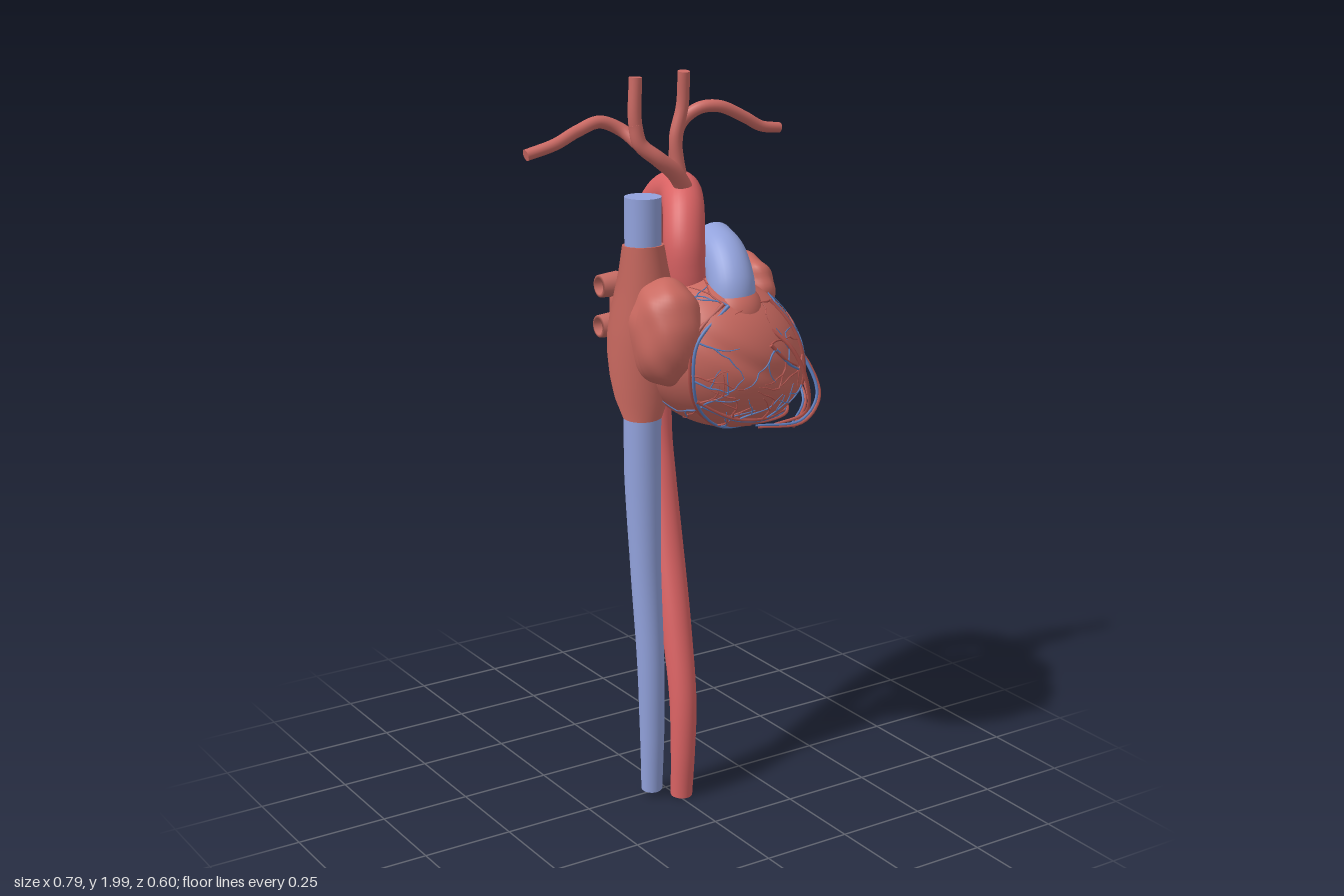
import * as THREE from 'three';
import { mergeGeometries } from 'three/addons/utils/BufferGeometryUtils.js';

const V = (x, y, z) => new THREE.Vector3(x, y, z);
const paint = (name, color, side = THREE.FrontSide) => {
  const m = new THREE.MeshStandardMaterial({ color, side });
  m.name = name;
  return m;
};

// Ventricle frame: long axis runs down to the apex
const CENTER = V(0.11, 1.28, 0.095);
const AX = V(0.8, -0.5, 0.3).normalize();
const BX = V(0, 0, 1).addScaledVector(AX, -AX.z).normalize();
const CX = V(0, 0, 0).crossVectors(BX, AX).normalize();

// Point on the ventricle surface for a unit direction, raised by lift
function ventriclePoint(w, lift = 0) {
  const a = w.dot(AX), b = w.dot(BX), c = w.dot(CX);
  const groove = 1 - 0.035 * Math.exp(-Math.pow((c * 0.8 + b * 0.35 - 0.3) / 0.1, 2));
  const r = 0.197 * (1 - 0.07 * a) * groove;
  return CENTER.clone().addScaledVector(AX, a * 0.235).addScaledVector(BX, b * r)
    .addScaledVector(CX, c * r).addScaledVector(w, lift);
}

// Capped tube whose radius follows a list of values along its length
function vessel(points, radii, seg = 48, sides = 20) {
  const curve = new THREE.CatmullRomCurve3(points.map((p) => (p.isVector3 ? p : V(...p))));
  const g = new THREE.TubeGeometry(curve, seg, 1, sides);
  const pos = g.attributes.position, v = V(0, 0, 0);
  const radius = (t) => {
    const f = t * (radii.length - 1), i = Math.min(Math.floor(f), radii.length - 2);
    return THREE.MathUtils.lerp(radii[i], radii[i + 1], f - i);
  };
  for (let i = 0; i <= seg; i++) {
    const c = curve.getPointAt(i / seg), r = radius(i / seg);
    for (let j = 0; j <= sides; j++) {
      const k = i * (sides + 1) + j;
      v.fromBufferAttribute(pos, k).sub(c).multiplyScalar(r).add(c);
      pos.setXYZ(k, v.x, v.y, v.z);
    }
  }
  const caps = [0, 1].map((t) => {
    const dir = curve.getTangentAt(t).multiplyScalar(t ? 1 : -1), c = curve.getPointAt(t);
    const cap = new THREE.CircleGeometry(radius(t), sides);
    cap.applyQuaternion(new THREE.Quaternion().setFromUnitVectors(V(0, 0, 1), dir));
    return cap.translate(c.x, c.y, c.z);
  });
  return mergeGeometries([g, ...caps]);
}

// Rounded chamber; power below 1 makes it boxier, ripple adds soft folds
function chamber(center, size, power = 1, ripple = 0) {
  const g = new THREE.SphereGeometry(1, 48, 32), p = g.attributes.position;
  const bend = (n) => Math.sign(n) * Math.pow(Math.abs(n), power);
  for (let i = 0; i < p.count; i++) {
    const x = p.getX(i), y = p.getY(i), z = p.getZ(i);
    const k = 1 + ripple * Math.sin(7 * y + 3 * x) * Math.cos(5 * z + 2 * x);
    p.setXYZ(i, center[0] + bend(x) * size[0] * k, center[1] + bend(y) * size[1] * k, center[2] + bend(z) * size[2] * k);
  }
  g.computeVertexNormals();
  return g;
}

export function createModel() {
  const model = new THREE.Group();
  const muscle = paint('heart muscle', 0xc8685f);
  const aortaRed = paint('aorta red', 0xd96263);
  const branchRed = paint('branch artery red', 0xcb6a64);
  const veinBlue = paint('vein blue', 0x92a2dc);
  const coronaryRed = paint('coronary red', 0xb4544e);
  const coronaryBlue = paint('coronary blue', 0x5b7cbc);
  const openVein = paint('open vein', 0xc46a62, THREE.DoubleSide);
  const add = (name, geometry, material) => {
    const m = new THREE.Mesh(geometry, material);
    m.name = name;
    model.add(m);
    return m;
  };

  // Ventricles
  const body = new THREE.SphereGeometry(1, 72, 48), bp = body.attributes.position;
  for (let i = 0; i < bp.count; i++) {
    const p = ventriclePoint(V(0, 0, 0).fromBufferAttribute(bp, i).normalize());
    bp.setXYZ(i, p.x, p.y, p.z);
  }
  body.computeVertexNormals();
  add('ventricles', body, muscle);
  add('outflowCone', chamber([0.1, 1.4, 0.15], [0.085, 0.085, 0.095]), muscle);

  // Atria and their auricles
  add('leftAtrium', chamber([0.05, 1.36, -0.075], [0.145, 0.135, 0.11], 0.65, 0.03), muscle);
  add('leftAuricle', chamber([0.222, 1.43, 0.04], [0.055, 0.09, 0.11], 0.9, 0.07), muscle);
  add('rightAuricle', chamber([-0.075, 1.36, 0.115], [0.09, 0.14, 0.108], 0.9, 0.03), muscle);
  add('rightAtrium', vessel(
    [[-0.085, 1.115, 0.02], [-0.09, 1.22, 0.025], [-0.09, 1.34, 0.03], [-0.085, 1.46, 0.03], [-0.085, 1.575, 0.025]],
    [0.052, 0.072, 0.084, 0.091, 0.092, 0.086, 0.076, 0.064, 0.054], 48, 32), muscle);

  // Great veins
  add('upperVenaCava', vessel([[-0.085, 1.5, 0.025], [-0.085, 1.6, 0.025], [-0.085, 1.7, 0.025]], [0.048, 0.048], 8, 32), veinBlue);
  add('lowerVenaCava', vessel(
    [[-0.085, 1.18, 0.02], [-0.085, 0.95, 0.02], [-0.08, 0.7, 0.025], [-0.07, 0.4, 0.035], [-0.062, 0.2, 0.028], [-0.055, 0.03, 0.015]],
    [0.05, 0.049, 0.042, 0.038, 0.035, 0.029], 48, 32), veinBlue);
  add('pulmonaryTrunk', vessel(
    [[0.095, 1.4, 0.165], [0.1, 1.475, 0.155], [0.112, 1.535, 0.105], [0.125, 1.56, 0.03]],
    [0.062, 0.062, 0.059, 0.058], 24, 32), veinBlue);

  // Aorta: rise, arch and long descent
  add('aorta', vessel(
    [[0.045, 1.38, 0.06], [0.02, 1.5, 0.068], [0.018, 1.58, 0.06], [0.045, 1.66, 0.015], [0.075, 1.685, -0.05],
      [0.095, 1.655, -0.15], [0.1, 1.57, -0.222], [0.1, 1.45, -0.245], [0.09, 1.3, -0.227], [0.075, 1.15, -0.19],
      [0.057, 1, -0.15], [0.047, 0.88, -0.107], [0.035, 0.7, -0.047], [0.025, 0.5, 0.015], [0.018, 0.3, 0.06],
      [0.014, 0.15, 0.067], [0.014, 0.012, 0.06]],
    [0.054, 0.054, 0.055, 0.056, 0.055, 0.054, 0.048, 0.045, 0.04, 0.036, 0.03], 120, 32), aortaRed);

  // Arteries leaving the arch
  const arch = [
    ['brachiocephalicArtery', [[0.06, 1.69, 0.01], [0.015, 1.75, 0.02], [-0.035, 1.79, 0.02], [-0.08, 1.83, 0.005], [-0.092, 1.88, 0]], [0.024, 0.021, 0.018]],
    ['rightCarotid', [[-0.085, 1.84, 0], [-0.093, 1.9, 0], [-0.09, 2, 0]], [0.018, 0.017]],
    ['rightSubclavian', [[-0.075, 1.825, 0], [-0.105, 1.862, -0.045], [-0.16, 1.885, -0.06], [-0.23, 1.868, -0.055], [-0.31, 1.845, -0.03], [-0.39, 1.825, -0.035]], [0.018, 0.016, 0.015]],
    ['leftCarotid', [[0.08, 1.69, -0.04], [0.065, 1.77, -0.045], [0.06, 1.83, -0.045], [0.077, 1.91, -0.04], [0.075, 2, -0.03]], [0.019, 0.017, 0.016]],
    ['leftSubclavian', [[0.098, 1.67, -0.1], [0.095, 1.77, -0.1], [0.105, 1.85, -0.095], [0.145, 1.893, -0.07], [0.2, 1.897, -0.055], [0.28, 1.862, -0.048], [0.33, 1.835, -0.047], [0.39, 1.825, -0.047]], [0.02, 0.017, 0.016, 0.014]],
  ];
  for (const [name, points, radii] of arch) add(name, vessel(points, radii), branchRed);

  // Cut pulmonary veins, open at the end
  const sleeve = [[0.004, 0], [0.016, 0.01], [0.019, 0.05], [0.026, 0.048], [0.03, 0]].map((p) => new THREE.Vector2(...p));
  for (const [x, y, z, s] of [[0.165, 1.45, -0.1, 1], [0.16, 1.36, -0.145, 1], [-0.068, 1.44, -0.13, -1], [-0.068, 1.33, -0.135, -1]]) {
    const m = add('pulmonaryVein', new THREE.LatheGeometry(sleeve, 24), openVein);
    m.position.set(x, y, z);
    m.rotation.z = -s * Math.PI / 2;
    m.scale.setScalar(1.15);
  }

  // Coronary vessels: guided mains with wandering twigs
  let seed = 11;
  const rand = () => (seed = (seed * 16807) % 2147483647) / 2147483647;
  const wander = (start, heading, steps, r, out, depth) => {
    const w = start.clone(), h = heading.clone(), pts = [];
    for (let i = 0; i <= steps; i++) {
      pts.push(ventriclePoint(w, 0.002));
      h.applyAxisAngle(w, (rand() - 0.5) * 0.9);
      if (depth > 0 && i > 0 && i % 2 === 0) {
        wander(w, h.clone().applyAxisAngle(w, rand() > 0.5 ? 0.8 : -0.8), 3, r * 0.7, out, depth - 1);
      }
      w.addScaledVector(h, 0.1).normalize();
      h.addScaledVector(w, -h.dot(w)).normalize();
    }
    out.push(vessel(pts, [r, r * 0.45], steps * 3, 5));
  };
  const mains = [
    [[-0.3, 0.75, 0.6], [-0.7, 0.35, 0.6], [-0.8, -0.1, 0.6], [-0.7, -0.5, 0.5], [-0.35, -0.85, 0.35], [0.2, -0.95, 0.2]],
    [[0.4, 0.75, 0.5], [0.6, 0.45, 0.65], [0.7, 0.1, 0.7], [0.75, -0.3, 0.6], [0.7, -0.65, 0.3]],
    [[0.55, 0.75, 0.1], [0.85, 0.45, 0], [0.95, 0, -0.1], [0.9, -0.4, -0.1], [0.75, -0.7, 0]],
    [[0.6, 0.6, -0.4], [0.65, 0.2, -0.7], [0.6, -0.2, -0.75], [0.6, -0.6, -0.5], [0.6, -0.8, -0.1]],
    [[-0.7, -0.45, 0.55], [-0.3, -0.7, 0.65], [0.1, -0.75, 0.65], [0.5, -0.7, 0.5]],
    [[0.1, 0.3, 0.95], [0.3, 0.1, 0.95], [0.5, 0, 0.87]],
  ];
  const trees = [['coronaryArteries', coronaryRed, 0, 0.0055], ['coronaryVeins', coronaryBlue, 0.06, 0.005]];
  for (const [name, material, shift, r] of trees) {
    const parts = [];
    for (const main of mains) {
      const dirs = main.map((d) => V(d[0] + shift, d[1] - shift, d[2]).normalize());
      parts.push(vessel(dirs.map((d) => ventriclePoint(d, 0.003)), [r, r * 0.6], 30, 6));
      for (let i = 0; i < dirs.length - 1; i++) {
        const side = V(0, 0, 0).crossVectors(dirs[i], dirs[i + 1]).normalize();
        wander(dirs[i], side.multiplyScalar(rand() > 0.45 ? 1 : -1), 4, r * 0.6, parts, 1);
      }
    }
    add(name, mergeGeometries(parts), material);
  }

  // Loose vessels looping past the apex
  const loops = [
    [[0.2, 1.41, -0.11], [0.25, 1.39, -0.1], [0.315, 1.33, -0.05], [0.35, 1.22, 0.05], [0.335, 1.13, 0.17], [0.26, 1.08, 0.22]],
    [[0.24, 1.37, 0.05], [0.31, 1.32, 0.07], [0.342, 1.22, 0.12], [0.325, 1.12, 0.2], [0.25, 1.09, 0.24]],
    [[0.26, 1.32, 0.18], [0.31, 1.24, 0.22], [0.32, 1.16, 0.25], [0.27, 1.1, 0.25], [0.16, 1.09, 0.2]],
    [[0.14, 1.38, 0.25], [0.2, 1.32, 0.285], [0.25, 1.22, 0.29], [0.27, 1.13, 0.26], [0.22, 1.08, 0.18]],
    [[0.28, 1.2, -0.03], [0.33, 1.14, 0.04], [0.31, 1.09, 0.12], [0.2, 1.075, 0.12], [0.08, 1.1, 0.1]],
  ];
  loops.forEach((p, i) => {
    add('looseArtery', vessel(p, [0.006, 0.004], 30, 6), coronaryRed);
    if (i % 2 === 0) add('looseVein', vessel(p.map(([x, y, z]) => [x - 0.012, y + 0.008, z + 0.006]), [0.005, 0.003], 30, 6), coronaryBlue);
  });
  return model;
}
